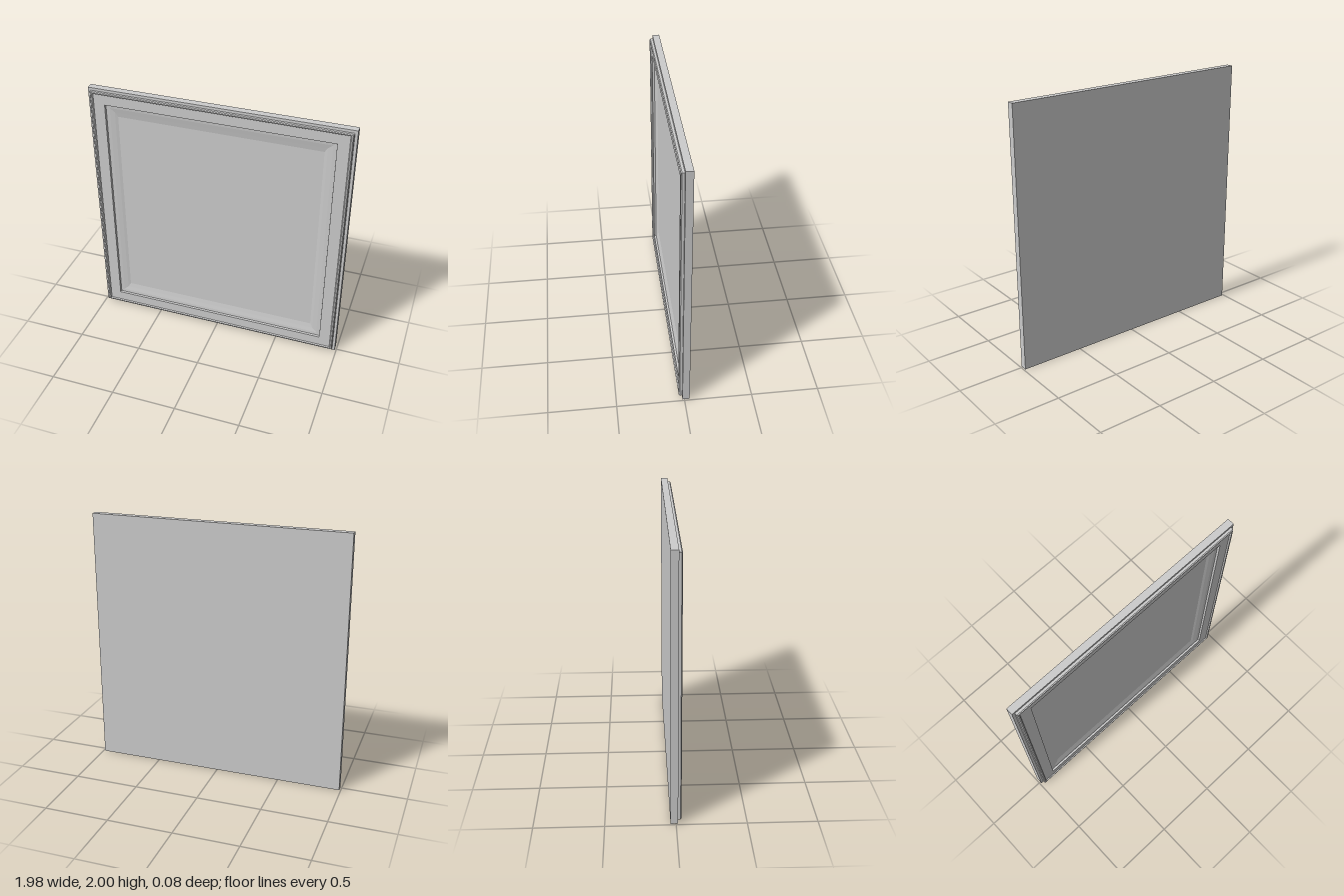
import * as THREE from 'three';

const W = 0.988, H = 1; // half width, half height

// Mitred rectangular rings, each station = [inset x, inset y, z], joined into flat bands
function mouldingGeometry(stations, closeStart = false, closeEnd = false) {
  const rings = stations.map(([ix, iy, z]) => {
    const x = W - ix, y = H - iy;
    return [[-x, -y, z], [x, -y, z], [x, y, z], [-x, y, z]];
  });
  const pos = [];
  const quad = (a, b, c, d) => pos.push(...a, ...b, ...c, ...a, ...c, ...d);
  for (let i = 0; i < rings.length - 1; i++) {
    const o = rings[i], n = rings[i + 1];
    for (let k = 0; k < 4; k++) {
      const j = (k + 1) % 4;
      quad(o[k], o[j], n[j], n[k]);
    }
  }
  if (closeStart) quad(...[...rings[0]].reverse());
  if (closeEnd) quad(...rings[rings.length - 1]);
  const geo = new THREE.BufferGeometry();
  geo.setAttribute('position', new THREE.Float32BufferAttribute(pos, 3));
  geo.computeVertexNormals();
  return geo;
}

export function createModel() {
  const group = new THREE.Group();
  const material = new THREE.MeshStandardMaterial({ color: 0xcccccc, flatShading: true });
  const add = (name, ...args) => {
    const mesh = new THREE.Mesh(mouldingGeometry(...args), material);
    mesh.name = name;
    mesh.position.y = H;
    group.add(mesh);
  };

  // Backing slab: back face, sides and the narrow front ledge
  add('backSlab', [[0, 0, -0.039], [0, 0, 0.014], [0.021, 0.021, 0.014]], true);

  // Raised bead around the outer edge, chamfered on both sides
  add('outerBead', [
    [0.021, 0.021, 0.014], [0.021, 0.021, 0.032], [0.027, 0.026, 0.039],
    [0.037, 0.033, 0.039], [0.041, 0.036, 0.035], [0.044, 0.039, 0.03],
  ]);

  // Flat frame with a steep inner edge
  add('frame', [[0.044, 0.039, 0.03], [0.13, 0.116, 0.03], [0.133, 0.119, 0.014]]);

  // Stepped moulding falling to the recessed panel
  add('innerMoulding', [
    [0.133, 0.119, 0.014], [0.16, 0.143, 0.012],
    [0.196, 0.175, 0.006], [0.217, 0.211, 0],
  ]);

  // Recessed centre panel
  add('centrePanel', [[0.217, 0.211, 0]], false, true);

  return group;
}
